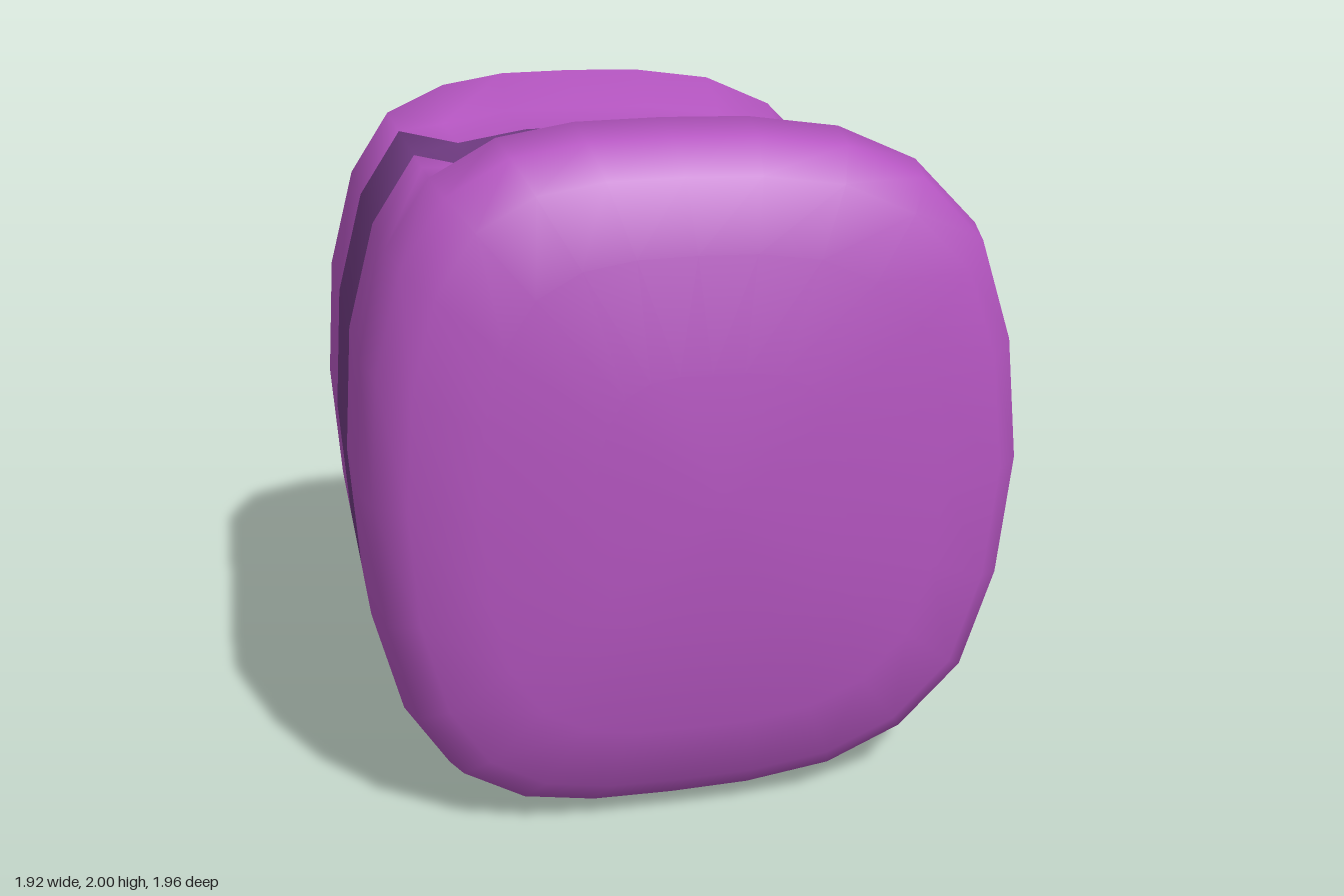
import * as THREE from 'three';

// Upper half of the rounded-square outline, from +x round to -x
const half = [
  [0.96, 0], [0.92, 0.37], [0.82, 0.67], [0.63, 0.86], [0.4, 0.96], [0.14, 0.995], [-0.1, 1],
  [-0.34, 0.995], [-0.55, 0.96], [-0.73, 0.86], [-0.855, 0.67], [-0.935, 0.37], [-0.96, 0],
];
const outline = [...half, ...half.slice(1, -1).reverse().map(([x, y]) => [x, -y])];

// Cross-section at z, scaled by s; a sunk one has its top and bottom pressed in
function section([z, s, sunk]) {
  return outline.map(([x, y]) => {
    const press = sunk && x > -0.6 && Math.abs(y) > 0.8 ? 0.143 * Math.sign(y) : 0;
    return [x * s, 1 + (y - press) * s, z];
  });
}

// Skin over a row of sections ordered from back to front
function loft(name, rows, color) {
  const n = outline.length;
  const index = [];
  const points = [];
  const rings = rows.filter((r) => r[1] > 0);
  rings.forEach((r) => points.push(...section(r)));
  for (let i = 0; i < rings.length - 1; i++) {
    for (let j = 0; j < n; j++) {
      const a = i * n + j, b = i * n + (j + 1) % n;
      index.push(a, b, b + n, a, b + n, a + n);
    }
  }
  // Close a dome with a fan to its pole
  const first = rows[0], last = rows[rows.length - 1];
  if (first[1] === 0) {
    const p = points.push([0, 1, first[0]]) - 1;
    for (let j = 0; j < n; j++) index.push(p, (j + 1) % n, j);
  }
  if (last[1] === 0) {
    const p = points.push([0, 1, last[0]]) - 1, o = (rings.length - 1) * n;
    for (let j = 0; j < n; j++) index.push(p, o + j, o + (j + 1) % n);
  }
  const geometry = new THREE.BufferGeometry();
  geometry.setAttribute('position', new THREE.Float32BufferAttribute(points.flat(), 3));
  geometry.setIndex(index);
  geometry.computeVertexNormals();
  const mesh = new THREE.Mesh(geometry, new THREE.MeshStandardMaterial({ color }));
  mesh.name = name;
  return mesh;
}

export function createModel() {
  const group = new THREE.Group();
  group.name = 'bandedCushionBlock';
  // Rows: z, scale, sunk
  group.add(
    loft('backCushion', [
      [-0.98, 0], [-0.967, 0.37], [-0.915, 0.68], [-0.835, 0.875], [-0.72, 0.965],
      [-0.58, 1, true], [-0.18, 1, true],
    ], 0xb455c0),
    loft('middleBand', [[-0.18, 1, true], [0.27, 1, true]], 0x6e3a80),
    loft('frontCushion', [
      [0.27, 1, true], [0.48, 1, true], [0.64, 1], [0.77, 0.965], [0.865, 0.875],
      [0.925, 0.68], [0.967, 0.37], [0.98, 0],
    ], 0xb455c0),
  );
  return group;
}
